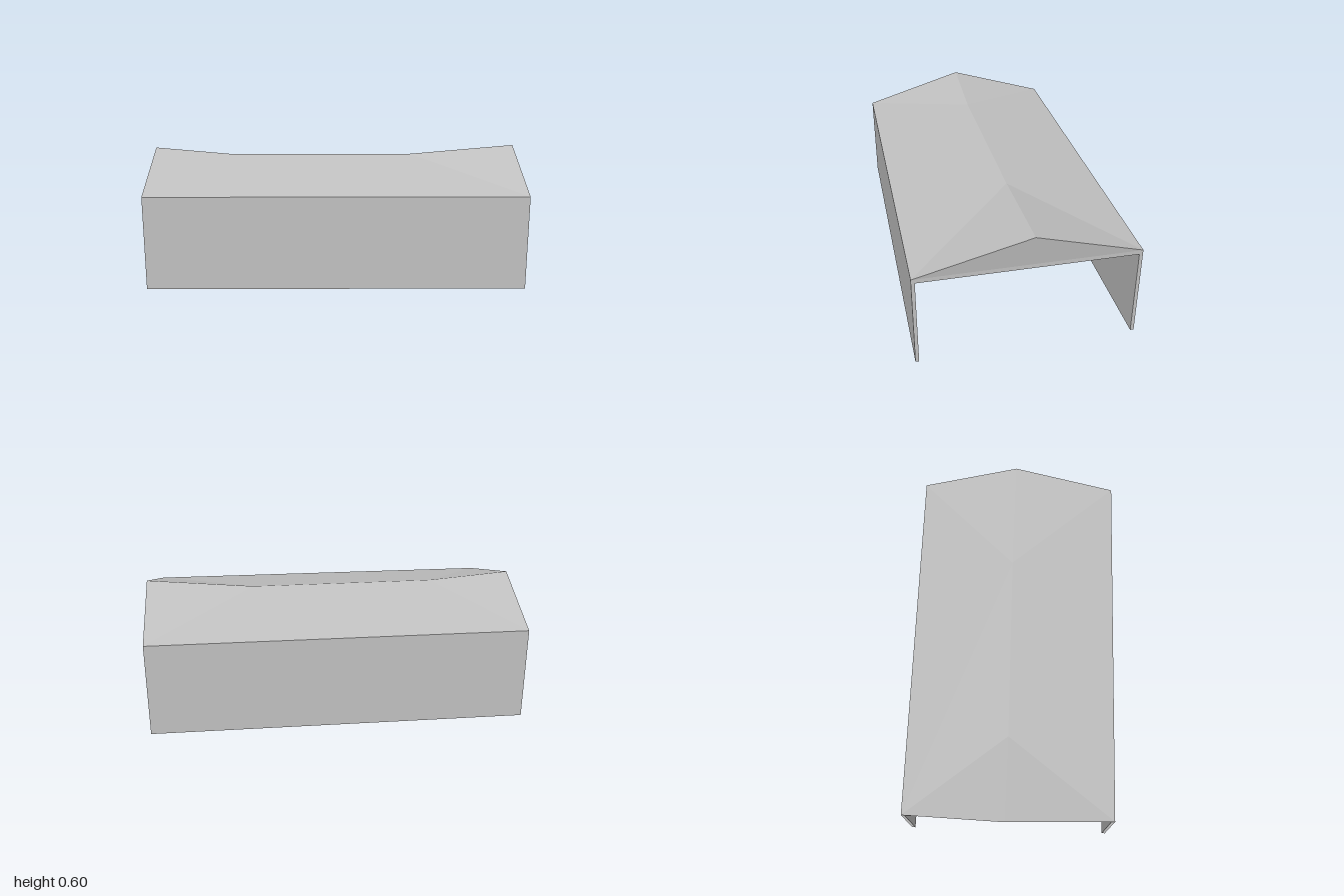
import * as THREE from 'three';

const EAVE = 0.45, CEILING = 0.43, WALL = 0.0165;

// Flat-shaded geometry from convex faces, each a counter-clockwise loop of points
function faceGeometry(faces) {
  const pos = [];
  for (const f of faces)
    for (let i = 1; i < f.length - 1; i++) pos.push(...f[0], ...f[i], ...f[i + 1]);
  const g = new THREE.BufferGeometry();
  g.setAttribute('position', new THREE.Float32BufferAttribute(pos, 3));
  g.computeVertexNormals();
  return g;
}

const at = ([x, z], y) => [x, y, z];

// Upright faces around a plan outline
const sides = (plan, y0, y1) => plan.map((p, i) => {
  const q = plan[(i + 1) % plan.length];
  return [at(p, y0), at(q, y0), at(q, y1), at(p, y1)];
});

const bottom = (plan, y) => plan.map(p => at(p, y)).reverse();

export function createModel() {
  const group = new THREE.Group();
  const grey = new THREE.MeshStandardMaterial({ color: 0xc0c0c0, flatShading: true });
  grey.name = 'plain grey';
  const add = (name, faces) => {
    const mesh = new THREE.Mesh(faceGeometry(faces), grey);
    mesh.name = name;
    group.add(mesh);
  };

  // Plan corners (x, z), in order round the building
  const plan = [[-1, 0.265], [-0.288, 0.99], [1, -0.272], [0.285, -1]];
  const [A, B, C, D] = plan.map(p => at(p, EAVE));

  // Ridge, raised at both ends
  const R1 = [-0.68, 0.59, 0.643], R2 = [-0.385, 0.555, 0.36];
  const R3 = [0.265, 0.555, -0.29], R4 = [0.65, 0.602, -0.662];

  add('roof', [
    [A, R1, R2], [A, R2, R3, D], [D, R3, R4],
    [B, R2, R1], [B, C, R3, R2], [C, R4, R3],
  ]);
  add('gables', [[A, B, R1], [C, D, R4]]);
  add('ceilingSlab', [...sides(plan, CEILING, EAVE), bottom(plan, CEILING)]);

  // Thin walls under the two long eaves; both ends stay open
  const toward = (p, q) => {
    const d = Math.hypot(q[0] - p[0], q[1] - p[1]);
    return p.map((v, i) => v + (q[i] - v) * WALL / d);
  };
  const [a, b, c, d] = plan;
  const walls = { backWall: [a, toward(a, b), toward(d, c), d], frontWall: [toward(b, a), b, c, toward(c, d)] };
  for (const [name, w] of Object.entries(walls)) add(name, [...sides(w, 0, CEILING), bottom(w, 0)]);

  return group;
}
